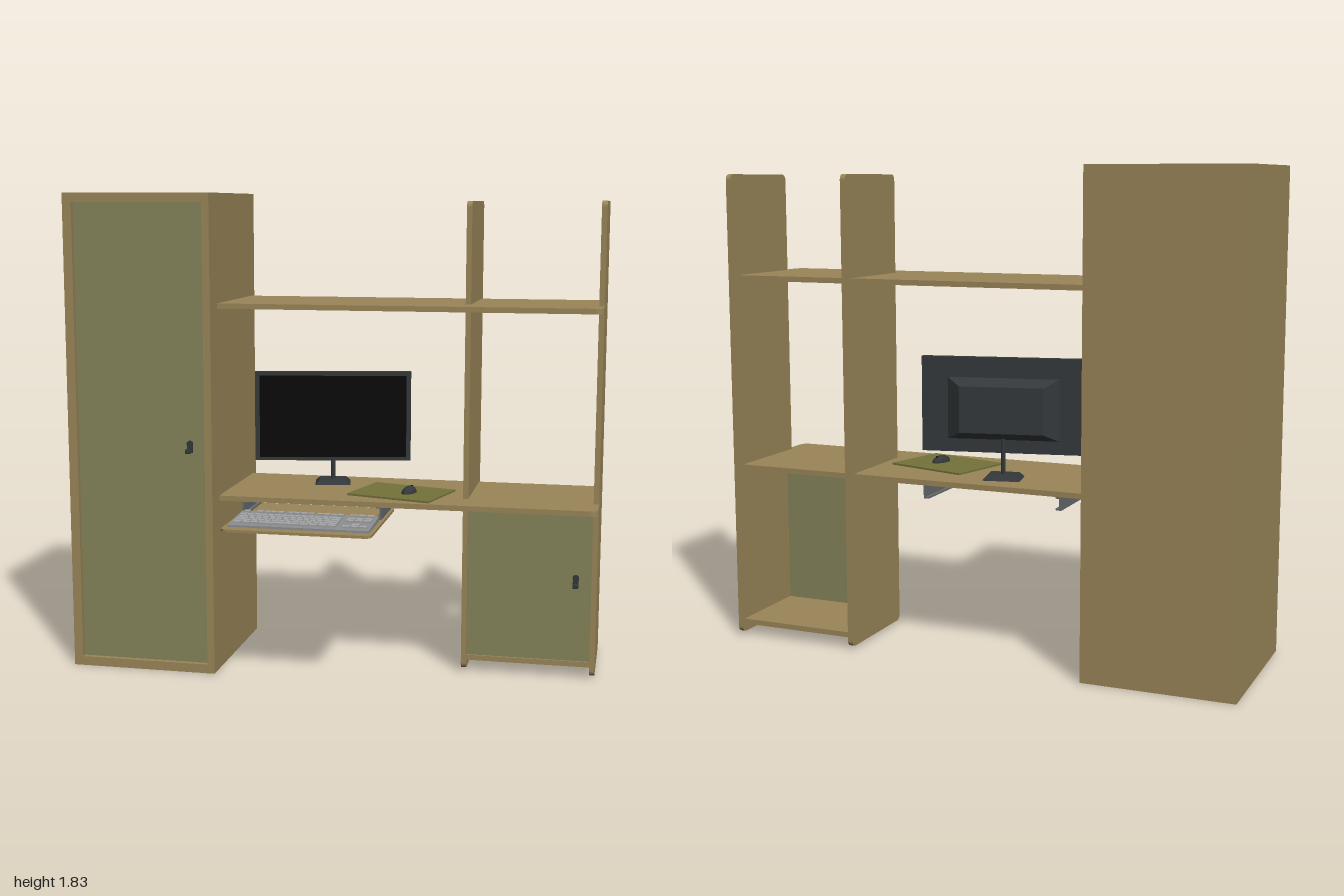
import * as THREE from 'three';
import { RoundedBoxGeometry } from 'three/addons/geometries/RoundedBoxGeometry.js';

const paint = (color) => new THREE.MeshStandardMaterial({ color });
const wood = paint(0x9a8659);
const green = paint(0x84835a);
const felt = paint(0x74733c);
const dark = paint(0x34383a);
const black = paint(0x0a0a0a);
const steel = paint(0x666a6c);
const keyBase = paint(0x8c8e90);
const keyCap = paint(0xa2a4a6);

function add(parent, name, geometry, material, x = 0, y = 0, z = 0) {
  const mesh = new THREE.Mesh(geometry, material);
  mesh.name = name;
  mesh.position.set(x, y, z);
  parent.add(mesh);
  return mesh;
}

// Box given by its limits on each axis
function box(parent, name, material, [x0, x1], [y0, y1], [z0, z1]) {
  return add(parent, name, new THREE.BoxGeometry(x1 - x0, y1 - y0, z1 - z0), material,
    (x0 + x1) / 2, (y0 + y1) / 2, (z0 + z1) / 2);
}

// Rectangle with a separate radius per corner: (x0,y0), (x1,y0), (x1,y1), (x0,y1)
function roundedRect(x0, x1, y0, y1, [a, b, c, d]) {
  const s = new THREE.Shape();
  s.moveTo(x0 + a, y0).lineTo(x1 - b, y0);
  if (b) s.absarc(x1 - b, y0 + b, b, -Math.PI / 2, 0);
  s.lineTo(x1, y1 - c);
  if (c) s.absarc(x1 - c, y1 - c, c, 0, Math.PI / 2);
  s.lineTo(x0 + d, y1);
  if (d) s.absarc(x0 + d, y1 - d, d, Math.PI / 2, Math.PI);
  s.lineTo(x0, y0 + a);
  if (a) s.absarc(x0 + a, y0 + a, a, Math.PI, Math.PI * 1.5);
  return s;
}

const extrude = (shape, depth) =>
  new THREE.ExtrudeGeometry(shape, { depth, bevelEnabled: false, curveSegments: 6 });

// Horizontal board: shape drawn with y = -z, then laid flat
function board(parent, name, [x0, x1], [z0, z1], y, radii, thickness = 0.02) {
  const g = extrude(roundedRect(x0, x1, -z1, -z0, radii), thickness).rotateX(-Math.PI / 2);
  return add(parent, name, g, wood, 0, y, 0);
}

// Keyhole plate with a small knob below it
function doorHandle(parent, x, y, z) {
  const g = new THREE.Group();
  g.name = 'doorHandle';
  g.position.set(x, y, z);
  const disc = (r, d) => new THREE.CylinderGeometry(r, r, d, 16).rotateX(Math.PI / 2);
  add(g, 'keyholePlate', disc(0.012, 0.008), dark, 0, 0.012, 0.004);
  add(g, 'handlePlate', new THREE.BoxGeometry(0.022, 0.03, 0.006), dark, 0, -0.008, 0.003);
  add(g, 'handleStem', disc(0.005, 0.024), dark, 0, -0.014, 0.014);
  add(g, 'knob', new RoundedBoxGeometry(0.022, 0.018, 0.012, 2, 0.004), dark, 0, -0.014, 0.029);
  parent.add(g);
}

function wardrobe() {
  const g = new THREE.Group();
  g.name = 'wardrobe';
  const frame = roundedRect(-1, -0.43, 0, 1.825, [0, 0, 0, 0]);
  frame.holes.push(roundedRect(-0.965, -0.458, 0.035, 1.79, [0, 0, 0, 0]));
  add(g, 'wardrobeFrame', extrude(frame, 0.62), wood, 0, 0, -0.395);
  box(g, 'wardrobeBack', wood, [-1, -0.43], [0, 1.825], [-0.4, -0.395]);
  box(g, 'wardrobeDoor', green, [-0.965, -0.458], [0.035, 1.79], [0.185, 0.205]);
  doorHandle(g, -0.52, 0.878, 0.205);
  return g;
}

function shelving() {
  const g = new THREE.Group();
  g.name = 'shelving';
  // Upright panels, rounded at all corners
  for (const x of [0.491, 0.979]) {
    const r = 0.022;
    const geo = extrude(roundedRect(0, 0.393, 0.013, 1.795, [r, r, r, r]), 0.02).rotateY(Math.PI / 2);
    add(g, 'uprightPanel', geo, wood, x, 0, 0);
  }
  // Long boards, rounded at the free front corner
  board(g, 'desktop', [-0.43, 1], [-0.36, 0.133], 0.66, [0, 0.03, 0, 0]);
  board(g, 'upperShelf', [-0.43, 1], [-0.36, 0.133], 1.395, [0, 0.03, 0, 0]);
  // Small cupboard under the desktop, open at the back
  board(g, 'cupboardBottom', [0.511, 0.979], [-0.38, -0.012], 0.045, [0, 0, 0, 0]);
  box(g, 'cupboardDoor', green, [0.511, 0.979], [0.065, 0.66], [-0.038, -0.02]);
  doorHandle(g, 0.92, 0.378, -0.02);
  return g;
}

function keyboardTray() {
  const g = new THREE.Group();
  g.name = 'keyboardTray';
  board(g, 'tray', [-0.352, 0.21], [-0.1, 0.397], 0.6, [0.025, 0.025, 0, 0], 0.01);
  // Channel-shaped runners under the desktop
  for (const [x, side] of [[-0.338, 1], [0.196, -1]]) {
    box(g, 'runnerWeb', steel, [x - 0.004, x + 0.004], [0.611, 0.66], [-0.36, 0.12]);
    for (const y of [0.615, 0.657])
      add(g, 'runnerFlange', new THREE.BoxGeometry(0.02, 0.006, 0.48), steel, x + side * 0.008, y, -0.12);
  }
  return g;
}

function keyboard() {
  const g = new THREE.Group();
  g.name = 'keyboard';
  // Wedge body, higher at the back
  const wedge = new THREE.Shape();
  wedge.moveTo(-0.352, 0.61).lineTo(-0.148, 0.61).lineTo(-0.148, 0.629).lineTo(-0.352, 0.618);
  add(g, 'keyboardBody', extrude(wedge, 0.53).rotateY(Math.PI / 2), keyBase, -0.335, 0, 0);
  const tilt = Math.atan2(0.011, 0.204);
  const key = (x0, x1, z, d = 0.021) => {
    const y = 0.618 + (0.352 - z) * 0.054 + 0.003;
    add(g, 'key', new THREE.BoxGeometry(x1 - x0 - 0.004, 0.008, d), keyCap, (x0 + x1) / 2, y, z).rotation.x = tilt;
  };
  const row = (x0, x1, n, z, d) => {
    const w = (x1 - x0) / n;
    for (let i = 0; i < n; i++) key(x0 + i * w, x0 + (i + 1) * w, z, d);
  };
  const L = -0.322, R = 0.068, rowZ = (i) => 0.212 + i * 0.026;
  // Back row of small keys in groups
  key(L, L + 0.026, 0.166, 0.018);
  for (let i = 0; i < 3; i++) row(-0.27 + i * 0.116, -0.164 + i * 0.116, 4, 0.166, 0.018);
  row(0.088, 0.184, 3, 0.166, 0.018);
  // Main rows with a wide key at each end
  [[0.026, 0.052, 12], [0.039, 0.039, 12], [0.046, 0.06, 11], [0.06, 0.07, 10]].forEach(([a, b, n], i) => {
    key(L, L + a, rowZ(i));
    row(L + a, R - b, n, rowZ(i));
    key(R - b, R, rowZ(i));
  });
  row(L, -0.226, 3, rowZ(4));
  key(-0.226, -0.07, rowZ(4));
  row(-0.07, R, 4, rowZ(4));
  // Navigation and arrow keys
  for (const i of [0, 1, 4]) row(0.088, 0.184, 3, rowZ(i));
  key(0.12, 0.152, rowZ(3));
  return g;
}

function monitor() {
  const g = new THREE.Group();
  g.name = 'monitor';
  g.position.set(-0.06, 0.68, -0.22);
  g.rotation.y = 0.2;
  // Square foot with sloping sides, and the neck
  const taper = (top, bottom, h) => new THREE.CylinderGeometry(top, bottom, h, 4, 1).rotateY(Math.PI / 4).toNonIndexed();
  const foot = taper(0.54, Math.SQRT1_2, 0.018).scale(0.14, 1, 0.11);
  foot.computeVertexNormals();
  add(g, 'foot', foot, dark, 0, 0.009, 0);
  add(g, 'neck', new THREE.CylinderGeometry(0.009, 0.009, 0.16, 16), dark, 0, 0.09, 0);
  // Bezel around the recessed screen
  const bezel = roundedRect(-0.309, 0.309, 0.095, 0.45, [0, 0, 0, 0]);
  bezel.holes.push(roundedRect(-0.291, 0.291, 0.108, 0.434, [0, 0, 0, 0]));
  add(g, 'bezel', extrude(bezel, 0.024), dark, 0, 0, 0.004);
  box(g, 'screen', black, [-0.292, 0.292], [0.107, 0.435], [0.006, 0.024]);
  box(g, 'backCover', dark, [-0.308, 0.308], [0.096, 0.449], [0.0, 0.01]);
  // Tapered bulge on the back
  const bulge = taper(0.53, Math.SQRT1_2, 0.045).rotateX(-Math.PI / 2).scale(0.42, 0.23, 1);
  bulge.computeVertexNormals();
  add(g, 'backBulge', bulge, dark, 0, 0.26, -0.022);
  return g;
}

function mouseAndPad() {
  const g = new THREE.Group();
  g.name = 'mouseAndPad';
  g.position.set(0.245, 0.68, -0.058);
  g.rotation.y = -0.27;
  box(g, 'mousePad', felt, [-0.17, 0.17], [0, 0.007], [-0.13, 0.13]);
  // Half ellipsoid body with a wheel
  const dome = new THREE.SphereGeometry(1, 20, 8, 0, Math.PI * 2, 0, Math.PI / 2).scale(0.025, 0.026, 0.045);
  add(g, 'mouse', dome, dark, 0.035, 0.007, 0.005);
  add(g, 'mouseWheel', new THREE.CylinderGeometry(0.007, 0.007, 0.005, 12).rotateZ(Math.PI / 2), black, 0.035, 0.026, -0.018);
  return g;
}

export function createModel() {
  const model = new THREE.Group();
  model.name = 'computerDesk';
  model.add(wardrobe(), shelving(), keyboardTray(), keyboard(), monitor(), mouseAndPad());
  return model;
}
